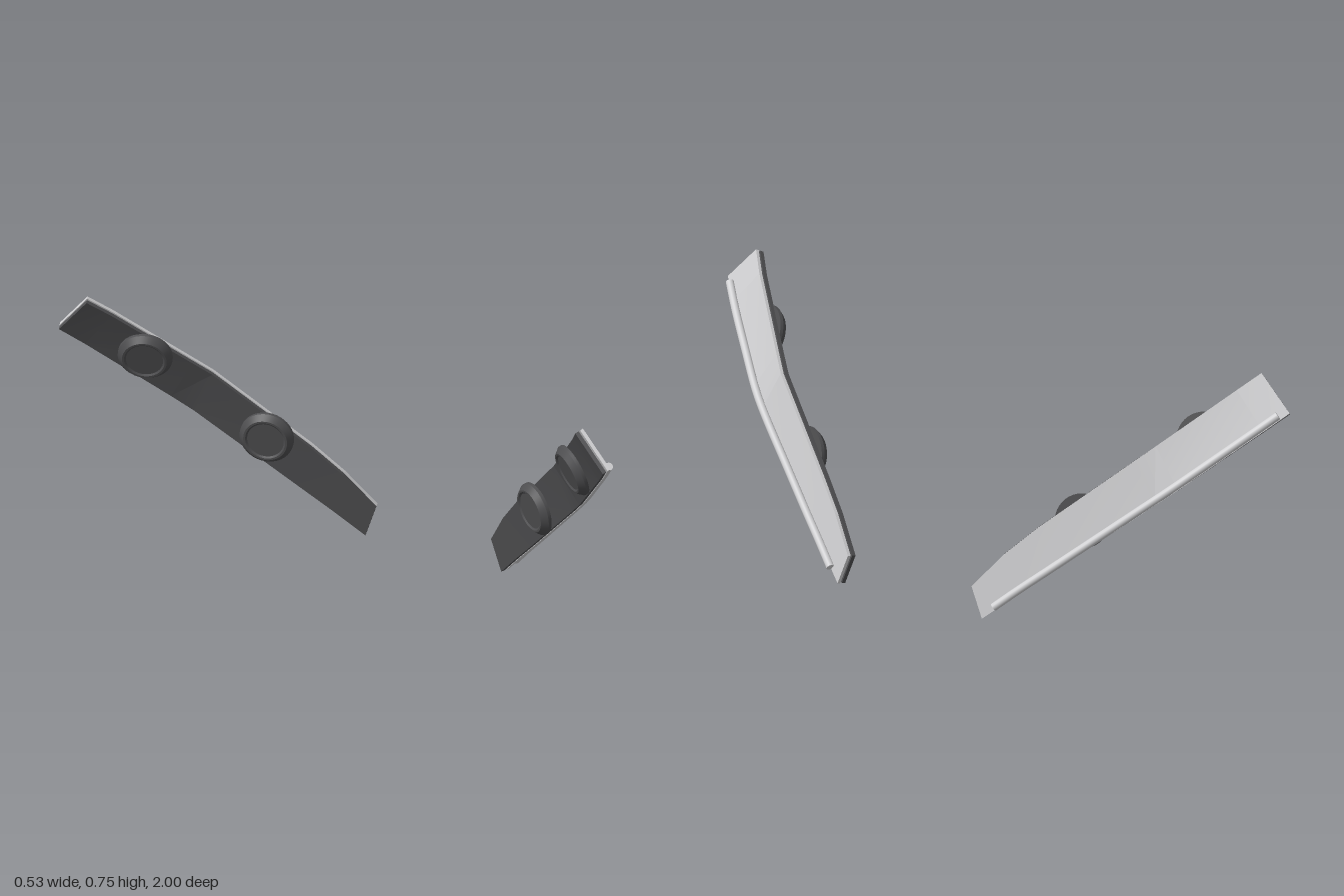
import * as THREE from 'three';
import { mergeGeometries, toCreasedNormals } from 'three/addons/utils/BufferGeometryUtils.js';

// Upper and lower edge of the slat's outer face: [x, upper y, upper z, lower y, lower z]
const STATIONS = [
  [-0.245, 0.755, 0.90, 0.65, 1.0],
  [-0.19, 0.708, 0.85, 0.598, 0.945],
  [-0.025, 0.545, 0.675, 0.425, 0.755],
  [0.015, 0.505, 0.632, 0.378, 0.7],
  [0.165, 0.285, 0.385, 0.157, 0.437],
  [0.215, 0.2, 0.30, 0.083, 0.347],
  [0.265, 0.1, 0.22, 0.006, 0.257],
];
const V = (x, y, z) => new THREE.Vector3(x, y, z);

// Upper point, lower point and outward normal at any x along the slat
function section(x) {
  let i = 0;
  while (i < STATIONS.length - 2 && x > STATIONS[i + 1][0]) i++;
  const p = STATIONS[i], q = STATIONS[i + 1];
  const f = (x - p[0]) / (q[0] - p[0]);
  const s = p.map((v, k) => v + (q[k] - v) * f);
  const top = V(x, s[1], s[2]), low = V(x, s[3], s[4]);
  const along = V(q[0] - p[0], q[1] - p[1], q[2] - p[2]);
  const normal = low.clone().sub(top).cross(along).normalize();
  return { top, low, normal };
}

// Point on the slat: t runs from upper to lower edge, lift is along the normal
function onSlat(x, t, lift) {
  const s = section(x);
  return s.top.clone().lerp(s.low, t).addScaledVector(s.normal, lift);
}

// Bent strip between two depths below the outer face
function slabGeometry(near, far) {
  const pos = [], index = [];
  STATIONS.forEach(([x], i) => {
    const s = section(x);
    const n = s.normal.clone().add(section(Math.min(x + 0.001, 0.265)).normal).normalize();
    const ring = [[s.top, near], [s.low, near], [s.low, far], [s.top, far]];
    for (const [p, d] of ring) pos.push(...p.clone().addScaledVector(n, -d).toArray());
    if (i === 0) return;
    const a = (i - 1) * 4, b = i * 4;
    for (let k = 0; k < 4; k++) {
      const m = (k + 1) % 4;
      index.push(a + k, a + m, b + m, a + k, b + m, b + k);
    }
  });
  const e = (STATIONS.length - 1) * 4;
  index.push(0, 3, 2, 0, 2, 1, e, e + 1, e + 2, e, e + 2, e + 3);
  const g = new THREE.BufferGeometry();
  g.setAttribute('position', new THREE.Float32BufferAttribute(pos, 3));
  g.setIndex(index);
  return toCreasedNormals(g, 0.08);
}

// Round rail following the lower edge, with flat ends
function railGeometry() {
  const radius = 0.012;
  const xs = [-0.226, -0.17, -0.09, -0.01, 0.03, 0.1, 0.17, 0.21, 0.246];
  const curve = new THREE.CatmullRomCurve3(xs.map((x) => onSlat(x, 0.91, 0.008)));
  const parts = [new THREE.TubeGeometry(curve, 32, radius, 16)];
  for (const u of [0, 1]) {
    const dir = curve.getTangent(u).multiplyScalar(u ? 1 : -1);
    const cap = new THREE.CircleGeometry(radius, 16);
    cap.applyQuaternion(new THREE.Quaternion().setFromUnitVectors(V(0, 0, 1), dir));
    const p = curve.getPoint(u);
    parts.push(cap.translate(p.x, p.y, p.z));
  }
  return mergeGeometries(parts);
}

// Round pad with a bevelled rim and shallow dished face, on the inner side
function padGeometry(x) {
  const profile = [[0, 0], [0.081, 0], [0.081, 0.01], [0.066, 0.028], [0.06, 0.028], [0.055, 0.024], [0, 0.024]];
  const g = new THREE.LatheGeometry(profile.map(([r, y]) => new THREE.Vector2(r, y)), 40);
  const inward = section(x).normal.clone().negate();
  g.applyQuaternion(new THREE.Quaternion().setFromUnitVectors(V(0, 1, 0), inward));
  const p = onSlat(x, 0.43, -0.026);
  return toCreasedNormals(g.translate(p.x, p.y, p.z), 0.5);
}

// Mirror across z = 0 and restore the face order
function mirrored(geometry) {
  const g = geometry.clone().scale(1, 1, -1);
  const src = g.index ? Array.from(g.index.array) : Array.from({ length: g.attributes.position.count }, (_, i) => i);
  for (let i = 0; i < src.length; i += 3) [src[i + 1], src[i + 2]] = [src[i + 2], src[i + 1]];
  g.setIndex(src);
  return g;
}

export function createModel() {
  const lightGrey = new THREE.MeshStandardMaterial({ color: 0xd0d0d2 });
  lightGrey.name = 'lightGrey';
  const darkGrey = new THREE.MeshStandardMaterial({ color: 0x4e4e50 });
  darkGrey.name = 'darkGrey';

  const parts = [
    ['outerPanel', slabGeometry(0, 0.01), lightGrey],
    ['backingPanel', slabGeometry(0.015, 0.027), darkGrey],
    ['rail', railGeometry(), lightGrey],
    ['upperPad', padGeometry(-0.1), darkGrey],
    ['lowerPad', padGeometry(0.11), darkGrey],
  ];

  const model = new THREE.Group();
  model.name = 'curvedSlats';
  for (const side of ['front', 'back']) {
    const slat = new THREE.Group();
    slat.name = side + 'Slat';
    for (const [name, geometry, material] of parts) {
      const mesh = new THREE.Mesh(side === 'front' ? geometry : mirrored(geometry), material);
      mesh.name = name;
      slat.add(mesh);
    }
    model.add(slat);
  }
  return model;
}
